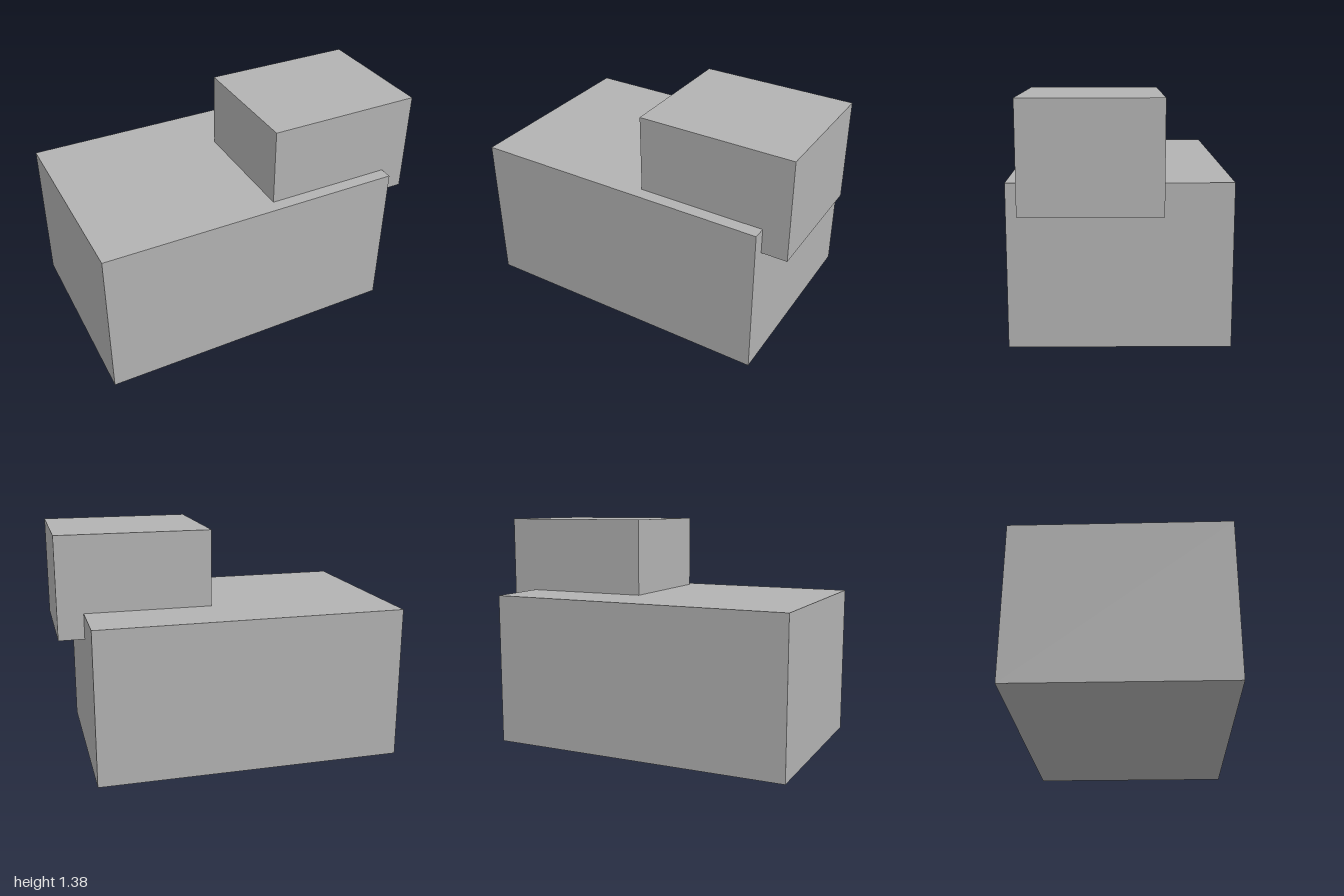
import * as THREE from 'three';

// The model sits on a regular grid, 26 cells along its longest side
const CELL = 1 / 13;

export function createModel() {
  const model = new THREE.Group();
  const grey = new THREE.MeshStandardMaterial({ color: 0xb2b2b2 });
  grey.name = 'grey';

  // Box between two grid corners
  function block(name, min, max) {
    const size = max.map((v, i) => (v - min[i]) * CELL);
    const mid = max.map((v, i) => ((v + min[i]) / 2) * CELL);
    const mesh = new THREE.Mesh(new THREE.BoxGeometry(...size), grey);
    mesh.name = name;
    mesh.position.set(...mid);
    model.add(mesh);
  }

  // Large base block
  block('base', [-13, 0, -8], [11, 12, 8]);
  // Smaller block sunk into the top, overhanging the left end
  block('upperBlock', [1, 10, -3], [13, 18, 7]);

  return model;
}
